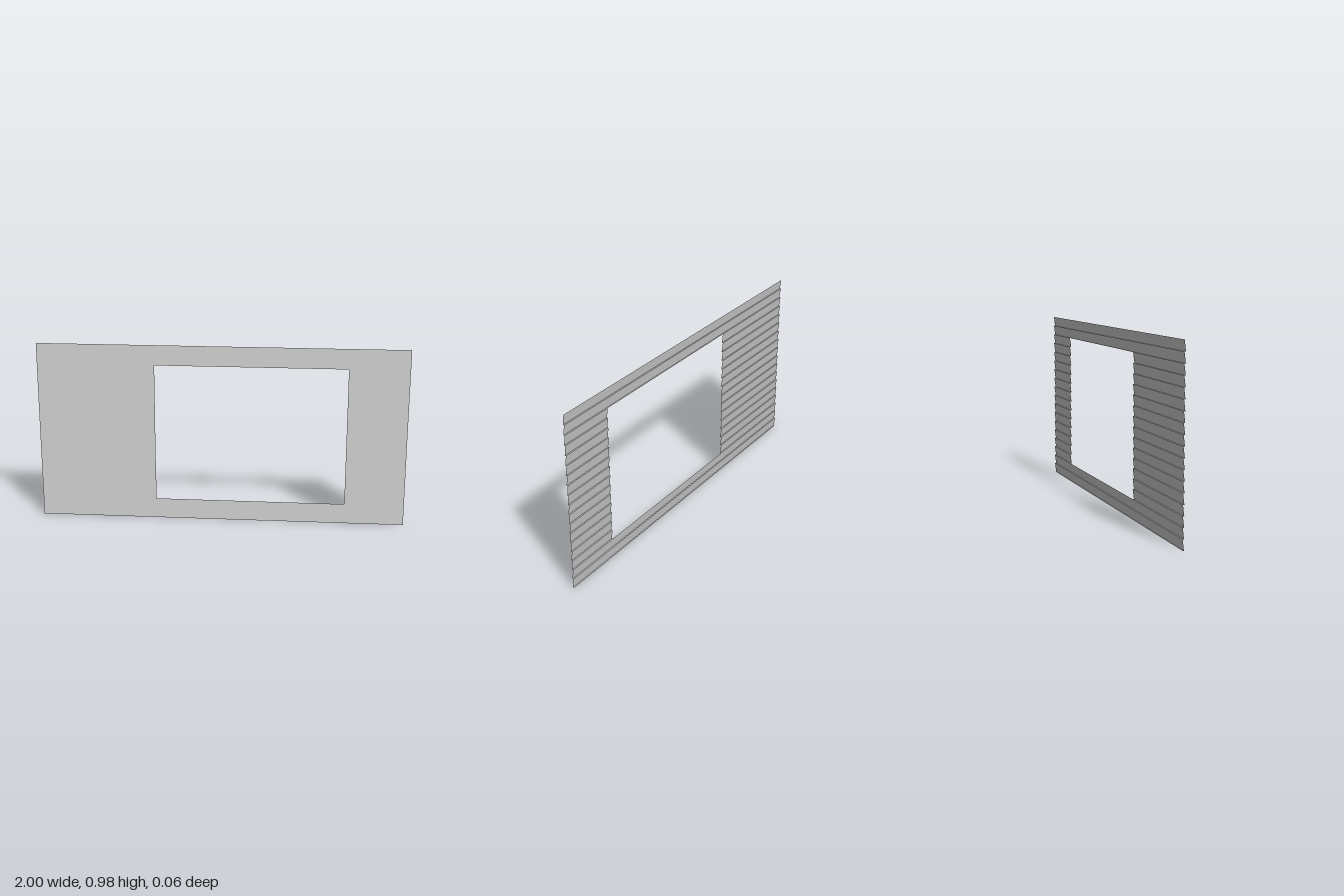
import * as THREE from 'three';
import { mergeGeometries } from 'three/addons/utils/BufferGeometryUtils.js';

const COUNT = 18;              // courses of lap siding
const HEIGHT = 0.979;
const PITCH = HEIGHT / COUNT;
const LIP = 0.007;             // how far each board's lower edge stands proud
const OPENING = { left: -0.361, right: 0.677, first: 2, last: 15 };

const material = new THREE.MeshStandardMaterial({
  color: 0xcccccc, flatShading: true, side: THREE.DoubleSide,
});

// One thin board: a sloping face and the narrow ledge under its lower edge
function makeBoard(x0, x1, course) {
  const width = x1 - x0;
  const face = new THREE.PlaneGeometry(width, Math.hypot(PITCH, LIP));
  face.rotateX(-Math.atan2(LIP, PITCH));
  const ledge = new THREE.PlaneGeometry(width, LIP);
  ledge.rotateX(Math.PI / 2);
  ledge.translate(0, -PITCH / 2, 0);
  const board = new THREE.Mesh(mergeGeometries([face, ledge]), material);
  board.position.set((x0 + x1) / 2, (course + 0.5) * PITCH, 0);
  return board;
}

export function createModel() {
  const wall = new THREE.Group();
  wall.name = 'sidingWall';

  for (let i = 0; i < COUNT; i++) {
    const besideOpening = i >= OPENING.first && i <= OPENING.last;
    // Boards stop either side of the window opening
    const spans = besideOpening
      ? [['rightSideBoard', -1, OPENING.left], ['leftSideBoard', OPENING.right, 1]]
      : [[i < OPENING.first ? 'lowerBoard' : 'upperBoard', -1, 1]];
    for (const [name, x0, x1] of spans) {
      const board = makeBoard(x0, x1, i);
      board.name = name;
      wall.add(board);
    }
  }

  // The wall stands at a very slight angle
  wall.rotation.y = 0.025;

  const model = new THREE.Group();
  model.name = 'sidingPanel';
  model.add(wall);
  return model;
}
